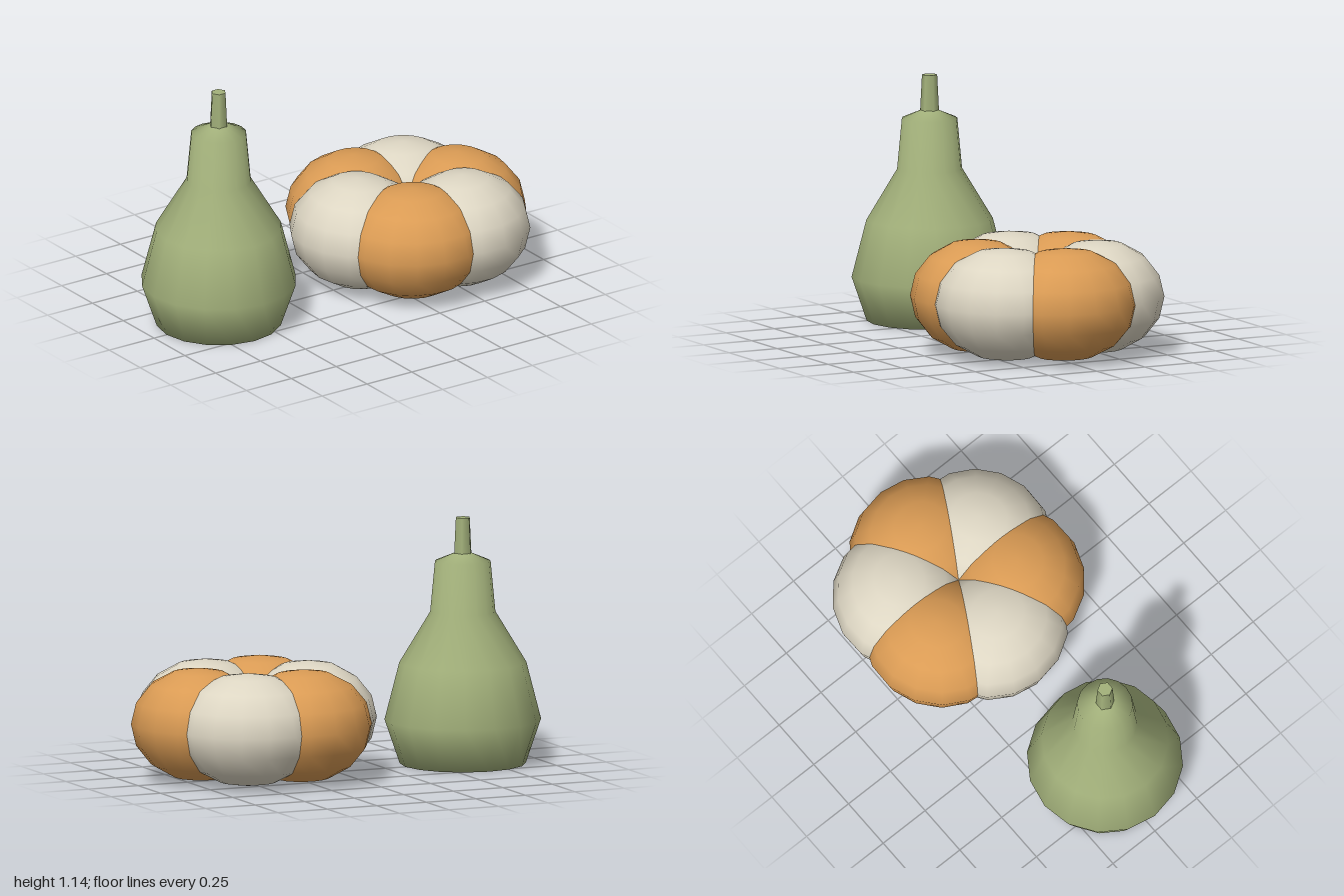
import * as THREE from 'three';

const material = (name, color) => {
  const m = new THREE.MeshStandardMaterial({ color });
  m.name = name;
  return m;
};

export function createModel() {
  const green = material('gourd green', 0xa3b17b);
  const orange = material('pumpkin orange', 0xda9b54);
  const cream = material('pumpkin cream', 0xddd6c3);

  const model = new THREE.Group();
  model.name = 'pumpkinAndGourd';

  // Tall gourd: turned body with a flat base and a shallow sloping top
  const gourd = new THREE.Group();
  gourd.name = 'gourd';
  gourd.position.x = -0.64;
  const profile = [
    [0, 0], [0.29, 0], [0.36, 0.205], [0.292, 0.47],
    [0.15, 0.705], [0.128, 0.94], [0.04, 0.977], [0, 0.98],
  ].map(([r, y]) => new THREE.Vector2(r, y));
  const body = new THREE.Mesh(new THREE.LatheGeometry(profile, 16), green);
  body.name = 'gourdBody';

  // Six-sided tapering stem, corners on the x axis
  const stem = new THREE.Mesh(new THREE.CylinderGeometry(0.035, 0.044, 0.18, 6), green);
  stem.name = 'gourdStem';
  stem.position.y = 1.052;
  stem.rotation.y = Math.PI / 2;
  gourd.add(body, stem);
  model.add(gourd);

  // Squat pumpkin: six overlapping lobes in alternating colours
  const pumpkin = new THREE.Group();
  pumpkin.name = 'pumpkin';
  pumpkin.position.set(0.415, 0.266, 0);
  const lobeShape = new THREE.SphereGeometry(1, 16, 8);
  lobeShape.scale(0.308, 0.262, 0.34);
  for (let i = 0; i < 6; i++) {
    const angle = (i * Math.PI) / 3;
    const lobe = new THREE.Mesh(lobeShape, i % 2 ? cream : orange);
    lobe.name = `pumpkinLobe${i + 1}`;
    lobe.position.set(0.277 * Math.cos(angle), 0, 0.277 * Math.sin(angle));
    lobe.rotation.y = -angle;
    pumpkin.add(lobe);
  }
  model.add(pumpkin);

  return model;
}
